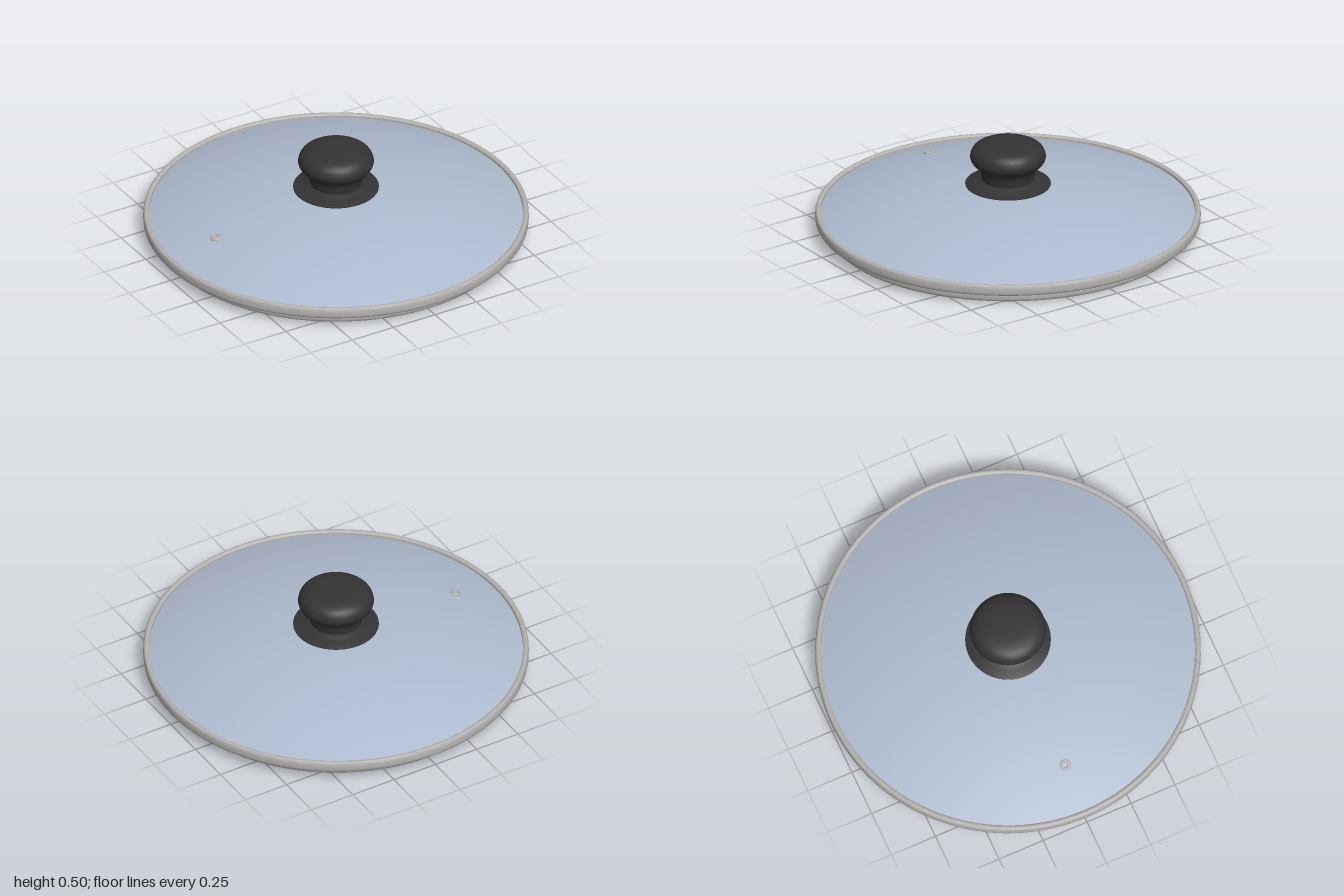
import * as THREE from 'three';
import { toCreasedNormals } from 'three/addons/utils/BufferGeometryUtils.js';

const material = (name, color) => Object.assign(new THREE.MeshStandardMaterial({ color }), { name });

// Height of a shallow spherical cap at radius r.
const R = 2.81;
const dome = (r, apex) => apex - R + Math.sqrt(R * R - r * r);

// Revolve a profile that runs counterclockwise in (radius, height).
function turned(name, profile, mat, segments = 96, crease = 0.65) {
  const points = profile.map(([x, y]) => new THREE.Vector2(x, y));
  const geometry = toCreasedNormals(new THREE.LatheGeometry(points, segments), crease);
  const mesh = new THREE.Mesh(geometry, mat);
  mesh.name = name;
  return mesh;
}

export function createModel() {
  const glass = material('blue tinted glass', 0xaebace);
  const steel = material('brushed steel', 0xb2b1af);
  const black = material('black plastic', 0x333333);
  const lid = new THREE.Group();
  lid.name = 'panLid';

  // Domed glass: underside, turned-down edge, then upper surface
  const under = [], upper = [];
  for (let i = 0; i <= 14; i++) {
    const r = i / 14;
    under.push([r * 0.86, dome(r * 0.86, 0.245)]);
    upper.unshift([r * 0.972, dome(r * 0.972, 0.27)]);
  }
  const edge = [[0.885, 0.092], [0.902, 0.07], [0.912, 0.04], [0.915, 0.018], [0.925, 0.018], [0.93, 0.06], [0.972, 0.07]];
  lid.add(turned('glassDome', [...under, ...edge, ...upper], glass, 128));

  // Steel band around the glass
  lid.add(turned('rimBand', [
    [0.928, 0.056], [0.985, 0.056], [0.994, 0.059], [0.999, 0.066], [1, 0.075], [1, 0.1],
    [0.998, 0.109], [0.993, 0.115], [0.985, 0.117], [0.977, 0.115], [0.971, 0.109], [0.969, 0.09], [0.928, 0.056],
  ], steel, 128));

  // Skirt that drops inside the pan
  lid.add(turned('skirt', [
    [0.914, 0.02], [0.914, 0.004], [0.918, 0], [0.929, 0], [0.934, 0.005], [0.936, 0.015],
    [0.936, 0.044], [0.93, 0.06], [0.92, 0.06], [0.914, 0.02],
  ], steel, 128));

  // Knob: flared base plate and rounded grip
  const knob = new THREE.Group();
  knob.name = 'knob';
  knob.add(turned('knobBase', [
    [0, 0.255], [0.222, 0.257], [0.222, 0.266], [0.205, 0.273], [0.18, 0.279], [0.155, 0.287], [0.145, 0.293], [0, 0.293],
  ], black));
  const grip = new THREE.SplineCurve([
    [0.135, 0.29], [0.138, 0.305], [0.142, 0.33], [0.155, 0.358], [0.18, 0.38], [0.195, 0.405], [0.195, 0.43],
    [0.182, 0.458], [0.155, 0.478], [0.11, 0.49], [0.05, 0.494], [0, 0.495],
  ].map(([x, y]) => new THREE.Vector2(x, y))).getPoints(40);
  knob.add(turned('knobGrip', grip.map((p) => [Math.max(p.x, 0), p.y]), black));
  lid.add(knob);

  // Washer and screw head under the knob
  lid.add(turned('washer', [
    [0, 0.234], [0.045, 0.234], [0.052, 0.229], [0.064, 0.229], [0.071, 0.234], [0.071, 0.25], [0, 0.25],
  ], steel, 40));
  lid.add(turned('screwHead', [[0, 0.217], [0.025, 0.217], [0.034, 0.223], [0.034, 0.24], [0, 0.24]], steel, 32));

  // Steam vent: an open eyelet set square to the glass
  const vent = turned('steamVent', [
    [0.012, -0.03], [0.015, -0.034], [0.024, -0.034], [0.029, -0.029], [0.029, -0.024], [0.018, -0.02],
    [0.018, -0.004], [0.029, 0], [0.029, 0.004], [0.024, 0.009], [0.015, 0.009], [0.012, 0.005], [0.012, -0.03],
  ], steel, 32);
  vent.position.set(-0.725, dome(0.725, 0.27), 0);
  vent.rotation.z = Math.asin(0.725 / R);
  lid.add(vent);

  return lid;
}
